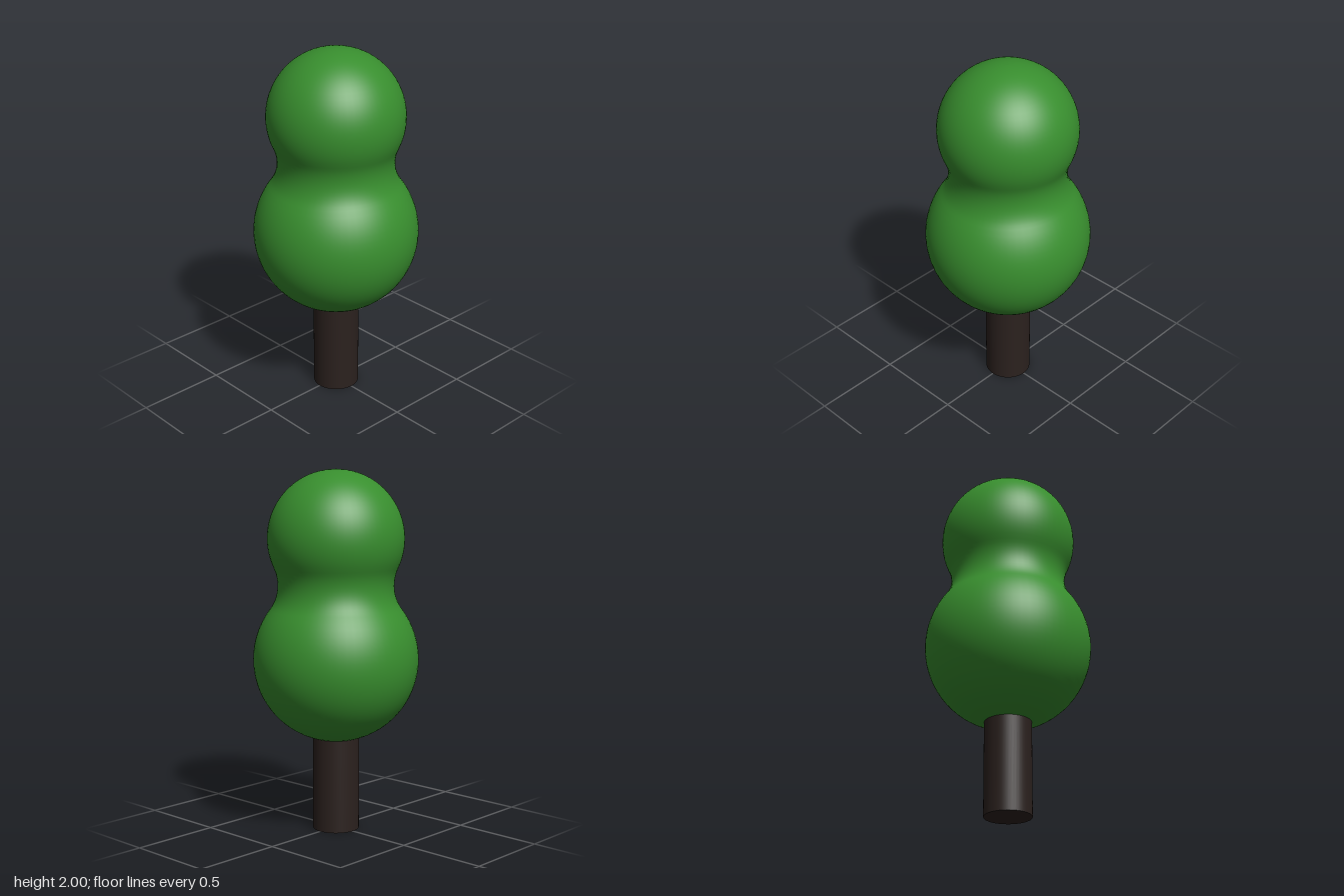
import * as THREE from 'three';

// Points along a circular arc in the profile plane, angles in degrees
function arc(cx, cy, r, from, to, steps) {
  return Array.from({ length: steps + 1 }, (_, i) => {
    const a = THREE.MathUtils.degToRad(from + ((to - from) * i) / steps);
    return new THREE.Vector2(Math.max(0, cx + r * Math.cos(a)), cy + r * Math.sin(a));
  });
}

export function createModel() {
  const tree = new THREE.Group();
  tree.name = 'tree';

  // Foliage: two balls joined by a tangent concave neck, revolved
  const profile = [
    ...arc(0, 0.96, 0.457, -90, 36.9, 28),
    ...arc(0.546, 1.37, 0.226, 216.9, 155.1, 12).slice(1),
    ...arc(0, 1.624, 0.376, -24.9, 90, 26).slice(1),
  ];
  const foliage = new THREE.Mesh(
    new THREE.LatheGeometry(profile, 64),
    new THREE.MeshStandardMaterial({ color: 0x388e2e })
  );
  foliage.name = 'foliage';
  tree.add(foliage);

  // Trunk: plain capped cylinder, its top sunk into the foliage
  const trunk = new THREE.Mesh(
    new THREE.CylinderGeometry(0.129, 0.129, 0.56, 48),
    new THREE.MeshStandardMaterial({ color: 0x2b211e })
  );
  trunk.name = 'trunk';
  trunk.position.y = 0.28;
  tree.add(trunk);

  return tree;
}
